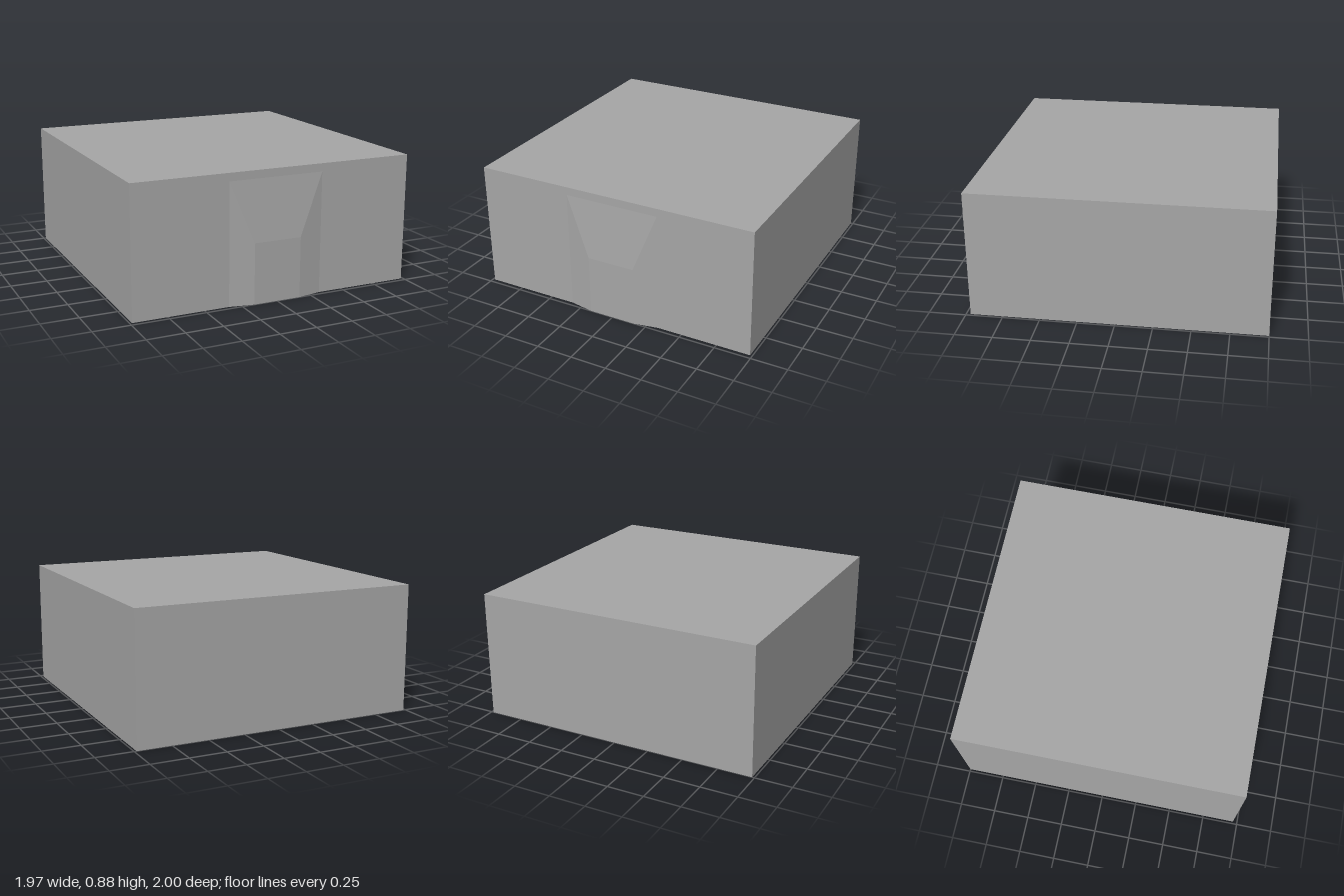
import * as THREE from 'three';

const HALF_X = 0.985, BACK = -1, FRONT = 0.97, HEIGHT = 0.875;
const WALL = 0.165, CEILING = 0.79;
const DOOR_HALF = 0.165, DOOR_TOP = 0.405;

export function createModel() {
  const model = new THREE.Group();
  model.name = 'hollowBlock';
  const grey = new THREE.MeshStandardMaterial({ color: 0xa6a6a6 });
  grey.name = 'plain grey';

  const add = (name, geometry) => {
    const mesh = new THREE.Mesh(geometry, grey);
    mesh.name = name;
    model.add(mesh);
    return mesh;
  };

  // A horizontal slab from plan points [x, z], between heights y0 and y1
  const plan = (points) => points.map(([x, z]) => new THREE.Vector2(x, -z));
  const slab = (name, outline, hole, y0, y1) => {
    const shape = new THREE.Shape(plan(outline));
    if (hole) shape.holes.push(new THREE.Path(plan(hole)));
    const geometry = new THREE.ExtrudeGeometry(shape, { depth: y1 - y0, bevelEnabled: false });
    geometry.rotateX(-Math.PI / 2).translate(0, y0, 0);
    return add(name, geometry);
  };

  const ix = HALF_X - WALL, iBack = BACK + WALL, iFront = FRONT - WALL;
  const outer = [[-HALF_X, FRONT], [HALF_X, FRONT], [HALF_X, BACK], [-HALF_X, BACK]];
  const room = [[-ix, iFront], [ix, iFront], [ix, iBack], [-ix, iBack]];
  const recessBack = FRONT - 0.004;
  const roomWithDoor = [
    [-ix, iFront], [-DOOR_HALF, iFront], [-DOOR_HALF, recessBack],
    [DOOR_HALF, recessBack], [DOOR_HALF, iFront],
    [ix, iFront], [ix, iBack], [-ix, iBack],
  ];

  // Walls, with the door recess in the lower part, and the roof
  slab('lowerWalls', outer, roomWithDoor, 0, DOOR_TOP);
  slab('upperWalls', outer, room, DOOR_TOP, CEILING);
  slab('roof', outer, null, CEILING, HEIGHT);

  // Sill closing the underside of the recess
  slab('doorSill', [[-DOOR_HALF, recessBack], [DOOR_HALF, recessBack],
    [DOOR_HALF, iFront], [-DOOR_HALF, iFront]], null, 0, 0.005);

  // Shallow tapered swelling on the front wall, over the recess
  const swelling = new THREE.BoxGeometry(1, 1, 1);
  const p = swelling.attributes.position;
  for (let i = 0; i < p.count; i++) {
    const front = p.getZ(i) > 0, top = p.getY(i) > 0;
    p.setXYZ(i,
      Math.sign(p.getX(i)) * (front ? DOOR_HALF : 0.33),
      top ? (front ? 0.41 : 0.82) : 0,
      front ? 1 : FRONT);
  }
  swelling.computeVertexNormals();
  add('frontSwelling', swelling);

  return model;
}
